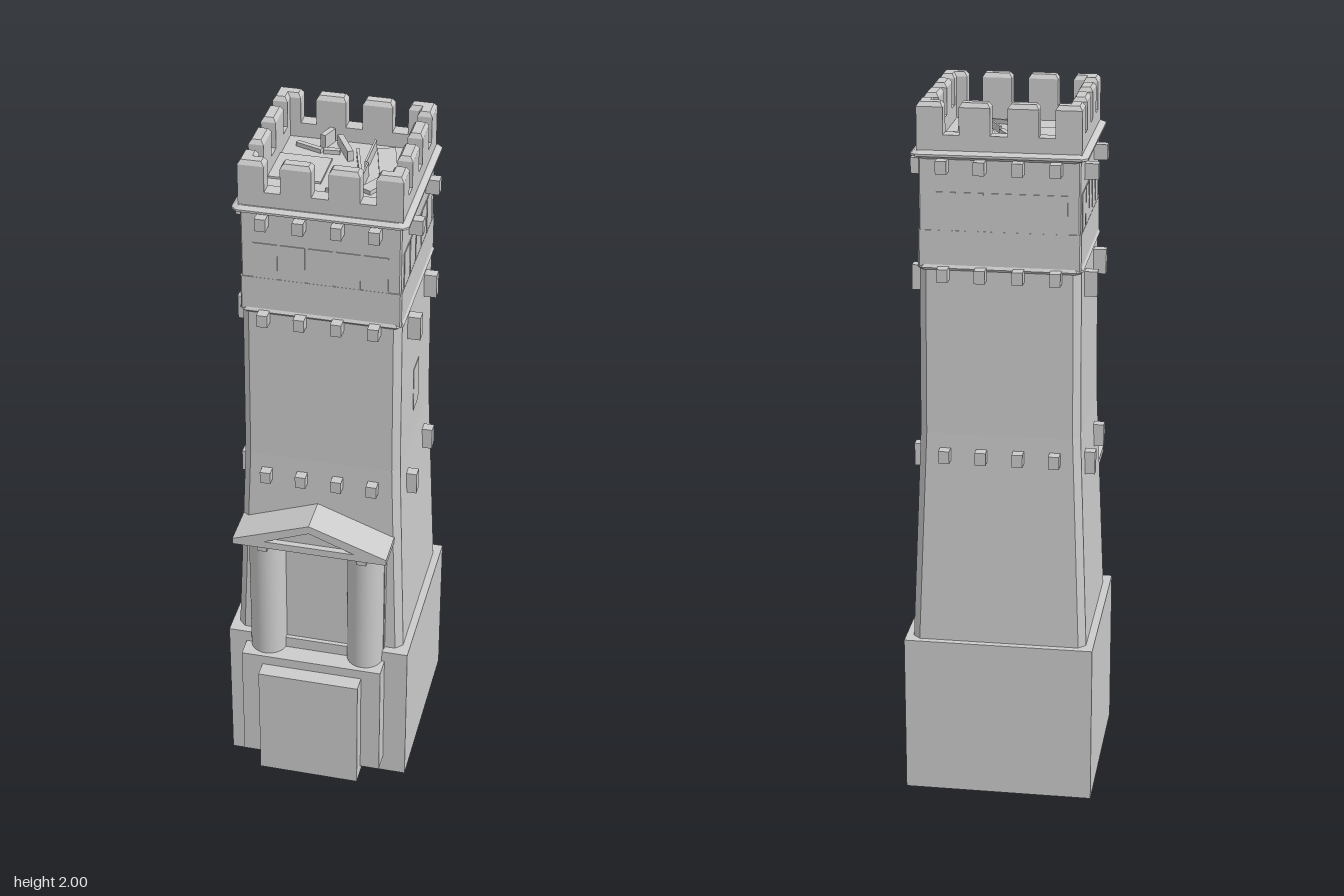
import * as THREE from 'three';

const mat = new THREE.MeshStandardMaterial({ color: 0xcccccc, flatShading: true, side: THREE.DoubleSide });
const smooth = new THREE.MeshStandardMaterial({ color: 0xcccccc });
const CZ = -0.053; // centre of the tower in z

function add(parent, name, geometry, x = 0, y = 0, z = 0, material = mat) {
  const m = new THREE.Mesh(geometry, material);
  m.name = name;
  m.position.set(x, y, z);
  parent.add(m);
  return m;
}

// Box given by its limits on each axis
function box(parent, name, x0, x1, y0, y1, z0, z1) {
  return add(parent, name, new THREE.BoxGeometry(x1 - x0, y1 - y0, z1 - z0),
    (x0 + x1) / 2, (y0 + y1) / 2, (z0 + z1) / 2);
}

// Skin a stack of rings [y, [[x, z], ...]] and cap both ends
function loft(rings) {
  const pos = [];
  const put = (y, p) => pos.push(p[0], y, p[1]);
  const n = rings[0][1].length;
  for (let r = 0; r < rings.length - 1; r++) {
    const [y0, a] = rings[r], [y1, b] = rings[r + 1];
    for (let i = 0; i < n; i++) {
      const j = (i + 1) % n;
      put(y0, a[i]); put(y1, b[i]); put(y1, b[j]);
      put(y0, a[i]); put(y1, b[j]); put(y0, a[j]);
    }
  }
  const [yb, bot] = rings[0], [yt, top] = rings[rings.length - 1];
  for (let i = 1; i < n - 1; i++) {
    put(yb, bot[0]); put(yb, bot[i]); put(yb, bot[i + 1]);
    put(yt, top[0]); put(yt, top[i + 1]); put(yt, top[i]);
  }
  const g = new THREE.BufferGeometry();
  g.setAttribute('position', new THREE.Float32BufferAttribute(pos, 3));
  g.computeVertexNormals();
  return g;
}

// Square section of half width h with corners cut by c
function square(h, c) {
  const k = h - c;
  return [[h, -k], [h, k], [k, h], [-k, h], [-h, k], [-h, -k], [-k, -h], [k, -h]];
}
const tower = (...levels) => loft(levels.map(([y, h, c = 0.015]) => [y, square(h, c)]));

// Merlon block whose upper edges slope inwards
function merlon(parent, x0, x1, z0, z1) {
  const rect = (d) => [[x1 - d, z0 + d], [x1 - d, z1 - d], [x0 + d, z1 - d], [x0 + d, z0 + d]];
  add(parent, 'merlon', loft([[1.9, rect(0)], [1.988, rect(0)], [2, rect(0.008)]]));
}

function addBase(g) {
  // Hollow block, open below
  const s = new THREE.BoxGeometry(0.535, 0.465, 0.535).toNonIndexed();
  const keep = (a, w) => {
    const old = s.getAttribute(a).array;
    const arr = [...old.slice(0, 18 * w), ...old.slice(24 * w)];
    s.setAttribute(a, new THREE.Float32BufferAttribute(arr, w));
  };
  keep('position', 3); keep('normal', 3); keep('uv', 2);
  s.clearGroups();
  add(g, 'base', s, 0, 0.2325, -0.05);
}

function addBrackets(g) {
  // Small corbels on front and back
  for (const y of [1.02, 1.538, 1.833]) {
    for (const x of [-0.154, -0.053, 0.049, 0.15]) {
      box(g, 'corbel', x - 0.015, x + 0.015, y - 0.018, y + 0.018, 0.14, 0.199);
      box(g, 'corbel', x - 0.015, x + 0.015, y - 0.018, y + 0.018, -0.308, -0.25);
    }
  }
  // Taller corbels on both sides
  for (const [y0, y1] of [[0.945, 1.01], [1.46, 1.53], [1.785, 1.828]]) {
    for (const z of [-0.166, 0.058]) {
      for (const s of [-1, 1]) {
        add(g, 'sideCorbel', new THREE.BoxGeometry(0.055, y1 - y0, 0.03), s * 0.227, (y0 + y1) / 2, z);
      }
    }
  }
}

function addBattlements() {
  const b = new THREE.Group();
  b.name = 'battlements';
  b.position.z = CZ;
  const out = 0.22, inn = 0.179;
  for (let i = 0; i < 4; i++) {
    const side = new THREE.Group();
    side.name = 'parapetSide';
    side.rotation.y = i * Math.PI / 2;
    b.add(side);
    box(side, 'parapetWall', -out, out, 1.865, 1.914, inn, out);
    for (const [x0, x1] of [[-out, -0.149], [-0.106, -0.023], [0.023, 0.106], [0.149, out]]) {
      merlon(side, x0, x1, inn, out);
    }
  }
  box(b, 'roofFloor', -inn, inn, 1.86, 1.872, -inn, inn);
  return b;
}

function addRubble(g) {
  // Loose slabs and planks on the roof: x, z, length, width, turn, height
  const bits = [
    [-0.107, -0.053, 0.145, 0.135, 0, 0.006], [0.113, -0.14, 0.05, 0.14, 0.25, 0.008],
    [0.112, -0.003, 0.035, 0.09, -0.5, 0.012], [0.042, -0.107, 0.008, 0.125, 0.28, 0.02],
    [0.066, -0.143, 0.006, 0.125, 0, 0.03], [0.077, -0.01, 0.005, 0.1, 0, 0.04],
    [0.049, -0.008, 0.006, 0.1, 0.45, 0.02], [0.047, 0.071, 0.125, 0.008, -0.33, 0.012],
    [-0.11, -0.17, 0.08, 0.014, -0.35, 0.012], [-0.045, -0.16, 0.045, 0.016, 0.1, 0.012],
    [-0.01, -0.17, 0.016, 0.1, 0.5, 0.03], [-0.067, -0.205, 0.016, 0.05, -0.35, 0.04],
  ];
  for (const [x, z, w, d, turn, h] of bits) {
    add(g, 'rubble', new THREE.BoxGeometry(w, h, d), x, 1.872 + h / 2, z).rotation.y = turn;
  }
}

function addPortico() {
  const p = new THREE.Group();
  p.name = 'portico';
  box(p, 'plinth', -0.215, 0.2, 0.055, 0.43, -0.04, 0.275);
  box(p, 'plinthPanel', -0.153, 0.143, 0.035, 0.4, 0.2, 0.322);
  box(p, 'doorPanel', -0.2, 0.195, 0.43, 0.84, 0.15, 0.205);
  for (const x of [-0.148, 0.14]) {
    add(p, 'column', new THREE.CylinderGeometry(0.053, 0.053, 0.42, 32), x, 0.635, 0.207, smooth);
    box(p, 'capital', x - 0.014, x + 0.014, 0.817, 0.845, 0.2, 0.272);
  }
  // Pediment frame with a sunken triangle
  const tri = (w, y0, y1, y2) => [[-w, y0], [w, y0], [w, y1], [0, y2], [-w, y1]].map(([x, y]) => new THREE.Vector2(x, y));
  const frame = new THREE.Shape(tri(0.222, 0.84, 0.858, 0.938));
  frame.holes.push(new THREE.Path([[-0.13, 0.862], [0, 0.913], [0.13, 0.862]].map(([x, y]) => new THREE.Vector2(x, y))));
  add(p, 'pediment', new THREE.ExtrudeGeometry(frame, { depth: 0.145, bevelEnabled: false }), -0.008, 0, 0.14);
  const back = new THREE.Shape(tri(0.2, 0.842, 0.855, 0.93));
  add(p, 'tympanum', new THREE.ExtrudeGeometry(back, { depth: 0.125, bevelEnabled: false }), -0.008, 0, 0.142);
  return p;
}

export function createModel() {
  const g = new THREE.Group();
  g.name = 'tower';
  addBase(g);

  // Tapered shaft, upper storey and cornice
  add(g, 'shaft', tower([0.465, 0.246, 0.02], [1.08, 0.222, 0.02], [1.55, 0.219, 0.02]), 0, 0, CZ);
  add(g, 'stringCourse', tower([1.545, 0.219], [1.552, 0.225], [1.56, 0.22]), 0, 0, CZ);
  add(g, 'lowerBand', tower([1.555, 0.22, 0.004], [1.655, 0.22, 0.004]), 0, 0, CZ);
  add(g, 'upperStorey', tower([1.65, 0.217, 0.004], [1.86, 0.217, 0.004]), 0, 0, CZ);
  add(g, 'cornice', tower([1.848, 0.218], [1.858, 0.237], [1.864, 0.237], [1.872, 0.224]), 0, 0, CZ);

  // Shallow upright panels round the upper storey
  for (let i = 0; i < 4; i++) {
    const side = new THREE.Group();
    side.name = 'storeyPanels';
    side.position.z = CZ;
    side.rotation.y = i * Math.PI / 2;
    g.add(side);
    for (let k = -2; k <= 2; k++) {
      box(side, 'storeyPanel', k * 0.075 - 0.033, k * 0.075 + 0.033, 1.655, 1.76, 0.2, 0.2195);
    }
  }
  box(g, 'blindWindow', 0.2, 0.2222, 1.16, 1.3, -0.09, -0.02);

  addBrackets(g);
  g.add(addBattlements());
  addRubble(g);
  g.add(addPortico());
  return g;
}
